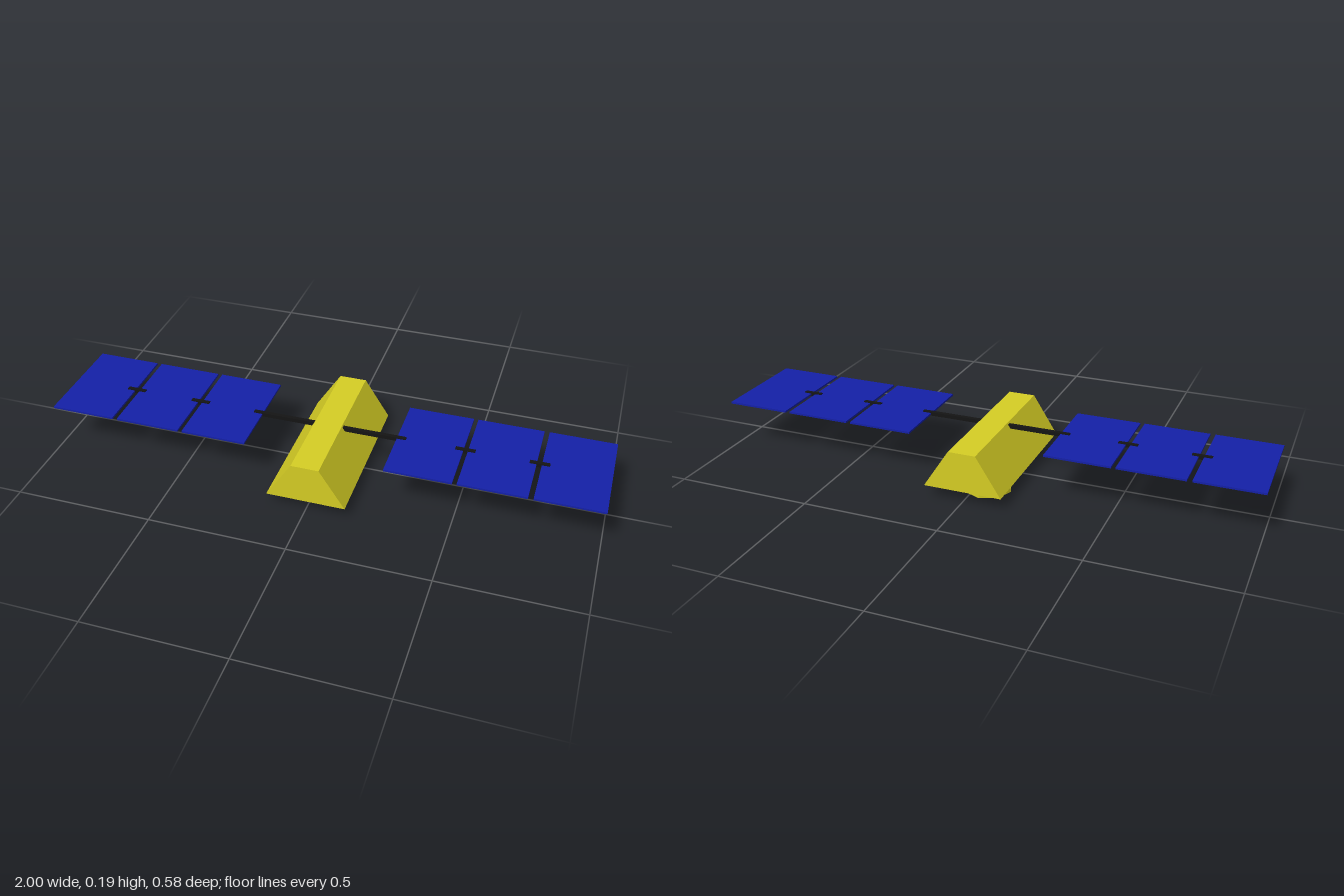
import * as THREE from 'three';

const paint = (color) => new THREE.MeshStandardMaterial({ color, flatShading: true });

export function createModel() {
  const model = new THREE.Group();
  const gold = paint(0xd6ce24), black = paint(0x141414), blue = paint(0x1420a8);
  const grey = paint(0x808080), red = paint(0xc02010);

  const add = (name, geometry, material, x, y, z, parent = model) => {
    const mesh = new THREE.Mesh(geometry, material);
    mesh.name = name;
    mesh.position.set(x, y, z);
    parent.add(mesh);
    return mesh;
  };

  // Eight-sided frustum between two heights
  const frustum = (name, material, x, z, yTop, rTop, yLow, rLow) =>
    add(name, new THREE.CylinderGeometry(rTop, rLow, yTop - yLow, 8), material, x, (yTop + yLow) / 2, z);

  // Flat octagon facing down
  const disc = (name, material, x, y, z, r) =>
    add(name, new THREE.CircleGeometry(r, 8).rotateX(Math.PI / 2), material, x, y, z);

  // Trapezoid body with a grey underside
  const section = new THREE.Shape([
    new THREE.Vector2(-0.143, 0.041), new THREE.Vector2(0.143, 0.041),
    new THREE.Vector2(0.05, 0.185), new THREE.Vector2(-0.05, 0.185),
  ]);
  add('body', new THREE.ExtrudeGeometry(section, { depth: 0.584, bevelEnabled: false }), gold, 0, 0, -0.292);
  add('underside', new THREE.PlaneGeometry(0.286, 0.584).rotateX(Math.PI / 2), grey, 0, 0.04, 0);

  // Large dish with a gold rim and grey face
  frustum('largeDish', black, 0, 0.17, 0.041, 0.12, 0.01, 0.075);
  frustum('largeDishRim', gold, 0, 0.17, 0.01, 0.075, 0.001, 0.05);
  disc('largeDishFace', grey, 0, 0, 0.17, 0.05);

  // Small cone antenna with a gold tip
  frustum('smallCone', black, 0.047, -0.045, 0.041, 0.095, 0.01, 0.016);
  frustum('smallConeTip', gold, 0.047, -0.045, 0.01, 0.016, 0.001, 0.009);

  // Round sensor with a red face
  frustum('sensorRim', gold, -0.06, -0.2, 0.041, 0.085, 0.026, 0.085);
  disc('sensorFace', red, -0.06, 0.025, -0.2, 0.085);

  // Solar wings: boom, three panels and the links between them
  for (const [side, name] of [[1, 'leftWing'], [-1, 'rightWing']]) {
    const wing = new THREE.Group();
    wing.name = name;
    wing.position.set(0, 0.173, 0.015);
    model.add(wing);
    const bar = (part, x0, x1, h, d, material) =>
      add(part, new THREE.BoxGeometry(x1 - x0, h, d), material, side * (x0 + x1) / 2, 0, 0, wing);
    bar('boom', 0.04, 0.285, 0.014, 0.015, black);
    for (const [x0, x1] of [[0.252, 0.49], [0.506, 0.744], [0.762, 1]]) bar('panel', x0, x1, 0.007, 0.385, blue);
    for (const x of [0.497, 0.755]) bar('link', x - 0.035, x + 0.035, 0.014, 0.015, black);
  }
  return model;
}
